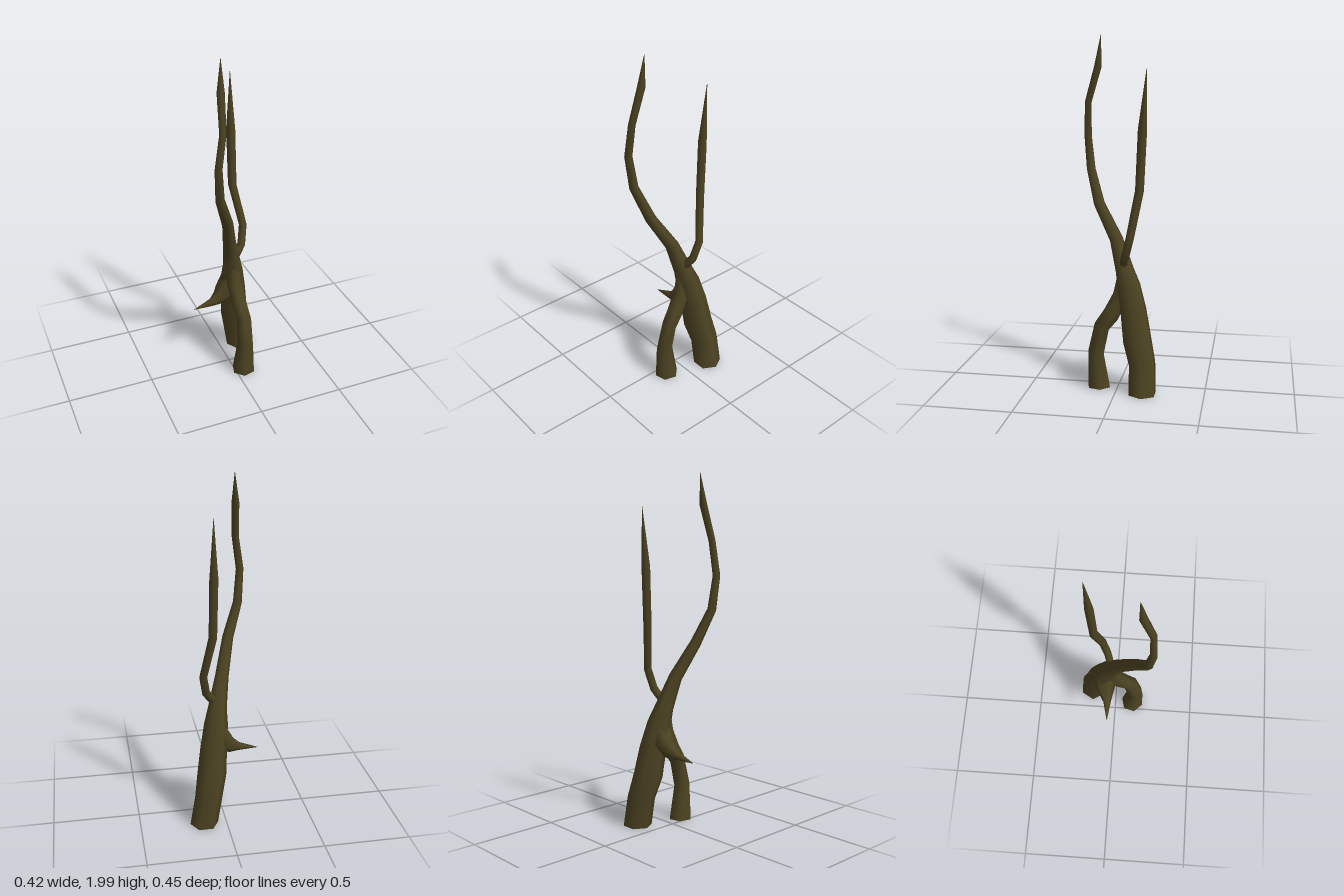
import * as THREE from 'three';

const SIDES = 6;

// Tapered limb: six-sided rings along a path of [x, y, z, radius]
function limb(points, { ref = [1, 0, 0], phase = 0, flatFoot = false } = {}) {
  const p = points.map(q => new THREE.Vector3(q[0], q[1], q[2]));
  const pos = [], index = [];
  p.forEach((c, i) => {
    const t = p[Math.min(i + 1, p.length - 1)].clone().sub(p[Math.max(i - 1, 0)]).normalize();
    if (i === 0 && flatFoot) t.set(0, 1, 0);
    const u = new THREE.Vector3(...ref).addScaledVector(t, -t.dot(new THREE.Vector3(...ref))).normalize();
    const v = t.clone().cross(u);
    for (let j = 0; j < SIDES; j++) {
      const a = phase + j / SIDES * Math.PI * 2;
      const s = c.clone().addScaledVector(u, Math.cos(a) * points[i][3]).addScaledVector(v, Math.sin(a) * points[i][3]);
      pos.push(s.x, s.y, s.z);
    }
  });
  for (let i = 0; i < p.length - 1; i++) {
    for (let j = 0; j < SIDES; j++) {
      const k = (j + 1) % SIDES, a = i * SIDES, b = a + SIDES;
      index.push(a + j, a + k, b + k, a + j, b + k, b + j);
    }
  }
  // Base cap on its own vertices, to keep the edge sharp
  const base = pos.length / 3;
  pos.push(...pos.slice(0, SIDES * 3));
  for (let j = 1; j < SIDES - 1; j++) index.push(base, base + j + 1, base + j);

  const g = new THREE.BufferGeometry();
  g.setAttribute('position', new THREE.Float32BufferAttribute(pos, 3));
  g.setIndex(index);
  g.computeVertexNormals();
  return g;
}

export function createModel() {
  const bark = new THREE.MeshStandardMaterial({ color: 0x4d4322 });
  bark.name = 'bark';
  const group = new THREE.Group();
  group.name = 'deadTree';
  const add = (name, points, options) => {
    const mesh = new THREE.Mesh(limb(points, options), bark);
    mesh.name = name;
    group.add(mesh);
  };

  // Trunk: rear root sweeping up into the tall branch
  add('trunk', [
    [0.130, 0, -0.153, 0.082], [0.102, 0.17, -0.148, 0.08], [0.078, 0.30, -0.116, 0.085],
    [0.062, 0.46, -0.092, 0.078], [0.043, 0.60, -0.062, 0.069], [0.030, 0.69, -0.036, 0.054],
    [-0.005, 0.86, 0.018, 0.039], [-0.058, 1.05, 0.125, 0.032], [-0.125, 1.24, 0.185, 0.026],
    [-0.140, 1.43, 0.205, 0.022], [-0.112, 1.62, 0.197, 0.020], [-0.100, 1.82, 0.138, 0.022],
    [-0.093, 1.99, 0.120, 0.001],
  ], { flatFoot: true });

  // Front root, bending back into the trunk
  add('frontRoot', [
    [0.050, 0, 0.110, 0.070], [0.054, 0.20, 0.127, 0.050], [0.058, 0.36, 0.092, 0.047],
    [0.050, 0.43, 0.040, 0.050], [0.040, 0.54, -0.015, 0.048], [0.032, 0.67, -0.035, 0.040],
  ], { flatFoot: true, phase: 0.25 });

  // Slender second branch
  add('secondBranch', [
    [0.035, 0.70, -0.030, 0.024], [0.065, 0.745, -0.036, 0.024], [0.098, 0.79, -0.052, 0.024],
    [0.118, 0.90, -0.080, 0.024], [0.070, 1.15, -0.124, 0.026], [0.066, 1.48, -0.138, 0.027],
    [0.070, 1.81, -0.160, 0.001],
  ], { phase: 0.3 });

  // Broken thorn-like stub
  add('stub', [
    [0.045, 0.54, -0.066, 0.075], [-0.010, 0.475, -0.060, 0.060], [-0.048, 0.447, -0.052, 0.043],
    [-0.095, 0.430, -0.044, 0.023], [-0.207, 0.410, -0.038, 0.001],
  ], { ref: [0, 0, 1] });

  return group;
}
